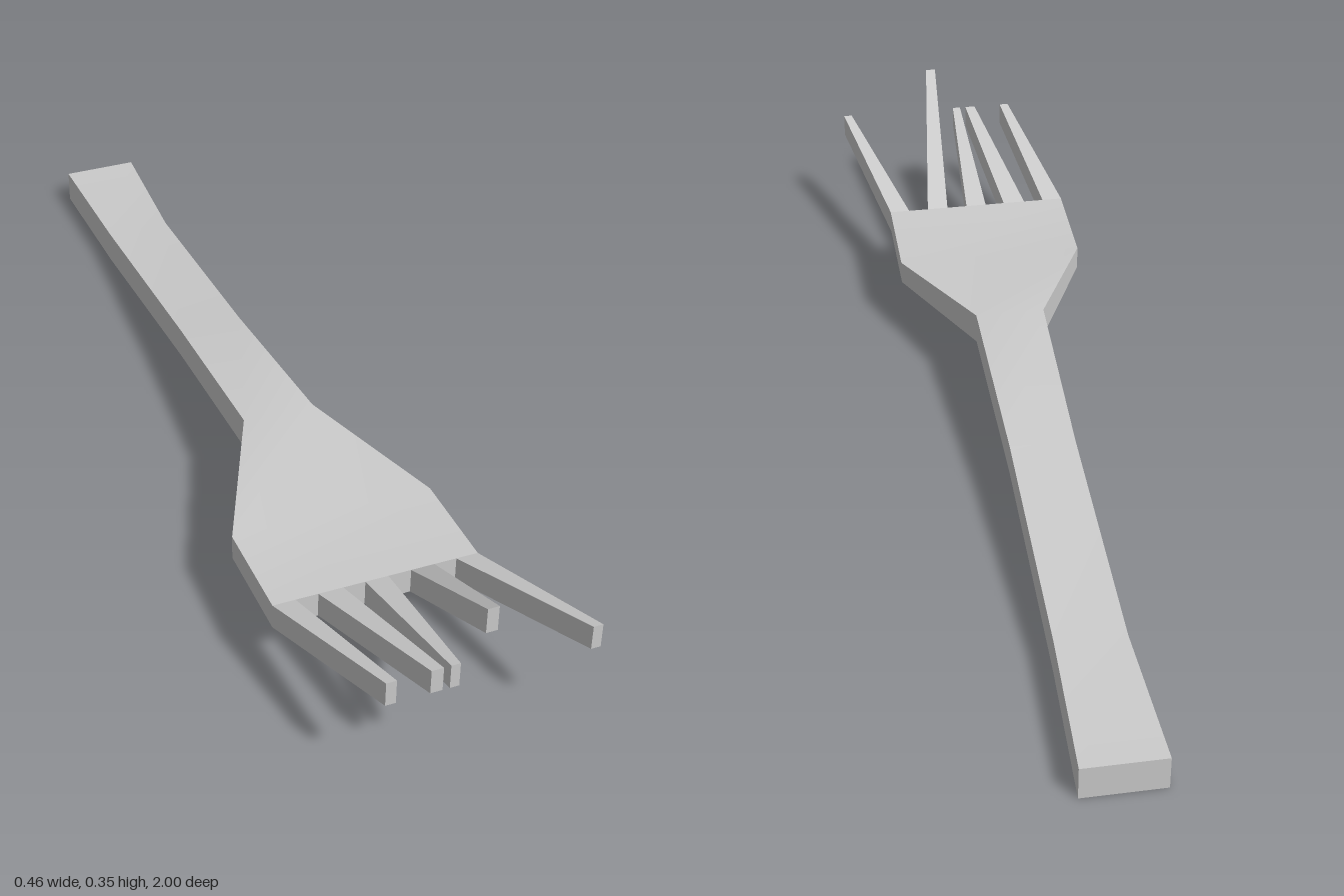
import * as THREE from 'three';
import { toCreasedNormals } from 'three/addons/utils/BufferGeometryUtils.js';

const material = new THREE.MeshStandardMaterial({ color: 0xcccccc });

// Lofts a bar through rectangular sections [z, xMin, xMax, yMin, yMax], ordered back to front
function loft(name, sections, capBack = true) {
  const positions = [];
  const index = [];
  for (const [z, x0, x1, y0, y1] of sections) {
    positions.push(x0, y0, z, x1, y0, z, x1, y1, z, x0, y1, z);
  }
  const quad = (a, b, c, d) => index.push(a, b, c, a, c, d);
  for (let s = 0; s < sections.length - 1; s++) {
    for (let i = 0; i < 4; i++) {
      const a = s * 4 + i;
      const b = s * 4 + ((i + 1) % 4);
      quad(a, b, b + 4, a + 4);
    }
  }
  const last = (sections.length - 1) * 4;
  quad(last, last + 1, last + 2, last + 3);
  if (capBack) quad(3, 2, 1, 0);

  const geometry = new THREE.BufferGeometry();
  geometry.setAttribute('position', new THREE.Float32BufferAttribute(positions, 3));
  geometry.setIndex(index);
  const mesh = new THREE.Mesh(toCreasedNormals(geometry, 0.35), material);
  mesh.name = name;
  return mesh;
}

export function createModel() {
  const fork = new THREE.Group();
  fork.name = 'fork';

  // Handle flaring into the flat head
  fork.add(loft('handleAndHead', [
    [-1, -0.115, 0.042, 0.003, 0.072],
    [-0.7, -0.104, 0.03, 0.008, 0.078],
    [-0.2, -0.102, 0.028, 0.073, 0.138],
    [0.195, -0.107, 0.035, 0.123, 0.188],
    [0.475, -0.233, 0.16, 0.107, 0.157],
    [0.68, -0.233, 0.16, 0.115, 0.166],
  ]));

  // Bent tines: base x range, tip x range, tip y range
  const tines = [
    [-0.233, -0.19, -0.16, -0.141, 0.2, 0.25],
    [-0.147, -0.1, -0.08, -0.058, 0.2, 0.25],
    [-0.058, -0.014, -0.045, -0.028, 0.2, 0.25],
    [0.03, 0.075, 0.013, 0.034, 0.303, 0.355],
    [0.118, 0.16, 0.214, 0.232, 0.2, 0.25],
  ];
  tines.forEach(([b0, b1, t0, t1, y0, y1], i) => {
    fork.add(loft(`tine${i + 1}`, [
      [0.68, b0, b1, 0.115, 0.166],
      [1, t0, t1, y0, y1],
    ], false));
  });

  return fork;
}
